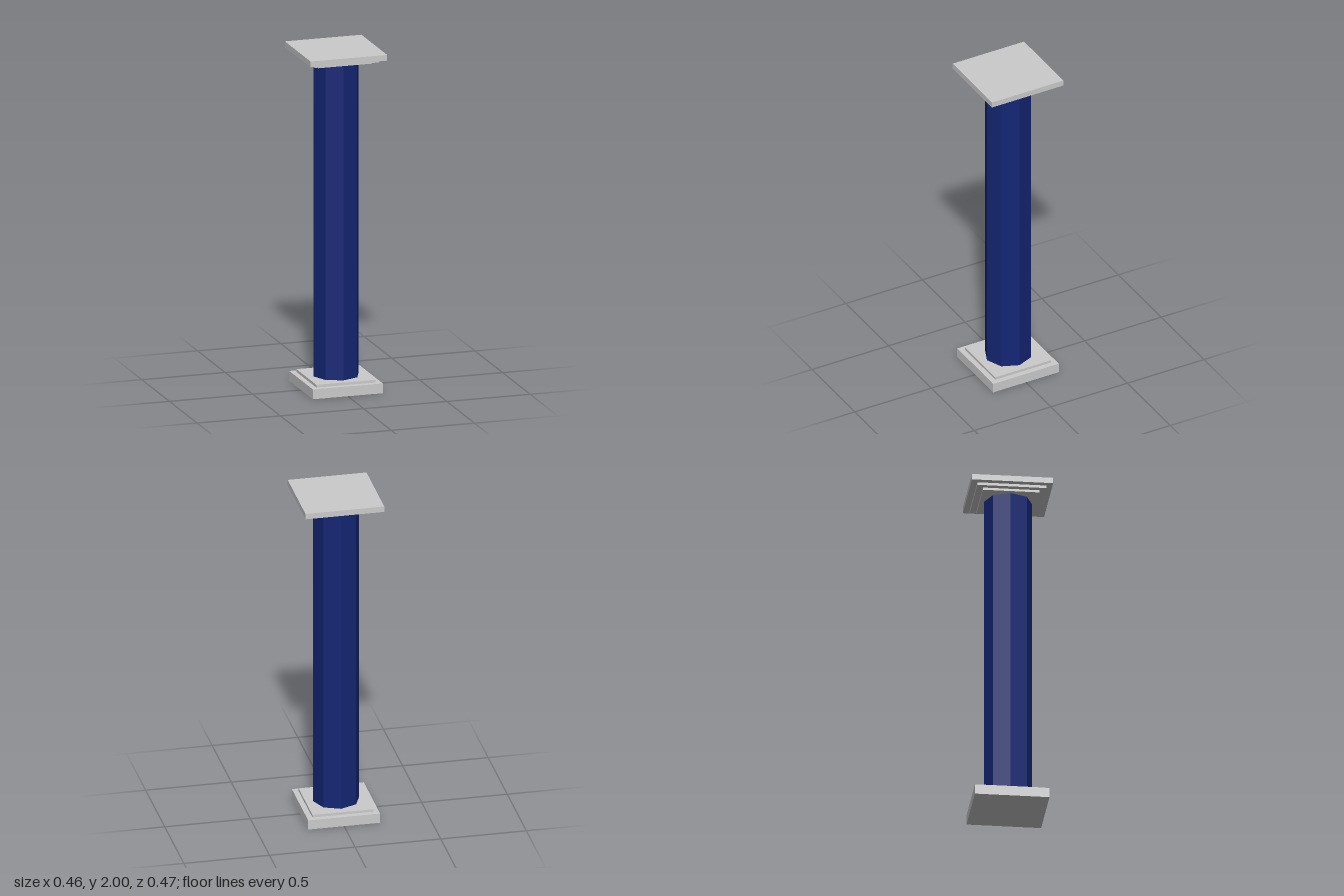
import * as THREE from 'three';

export function createModel() {
  const group = new THREE.Group();
  group.name = 'column';
  const stone = new THREE.MeshStandardMaterial({ color: 0xcccccc, flatShading: true });
  const blue = new THREE.MeshStandardMaterial({ color: 0x142674, flatShading: true });

  // Square slabs: name, width, depth, bottom, top
  const slabs = [
    ['plinth', 0.42, 0.428, 0, 0.058],
    ['baseStep', 0.356, 0.364, 0.058, 0.074],
    ['capitalLowerStep', 0.322, 0.324, 1.936, 1.95],
    ['capitalUpperStep', 0.388, 0.396, 1.95, 1.966],
    ['abacus', 0.46, 0.466, 1.966, 2],
  ];
  for (const [name, width, depth, bottom, top] of slabs) {
    const slab = new THREE.Mesh(new THREE.BoxGeometry(width, top - bottom, depth), stone);
    slab.name = name;
    slab.position.y = (bottom + top) / 2;
    group.add(slab);
  }

  // Octagonal shaft with corners on the x and z axes
  const shaft = new THREE.Mesh(new THREE.CylinderGeometry(0.135, 0.135, 1.862, 8), blue);
  shaft.name = 'shaft';
  shaft.position.y = 1.005;
  shaft.scale.z = 1.015;
  group.add(shaft);

  return group;
}
